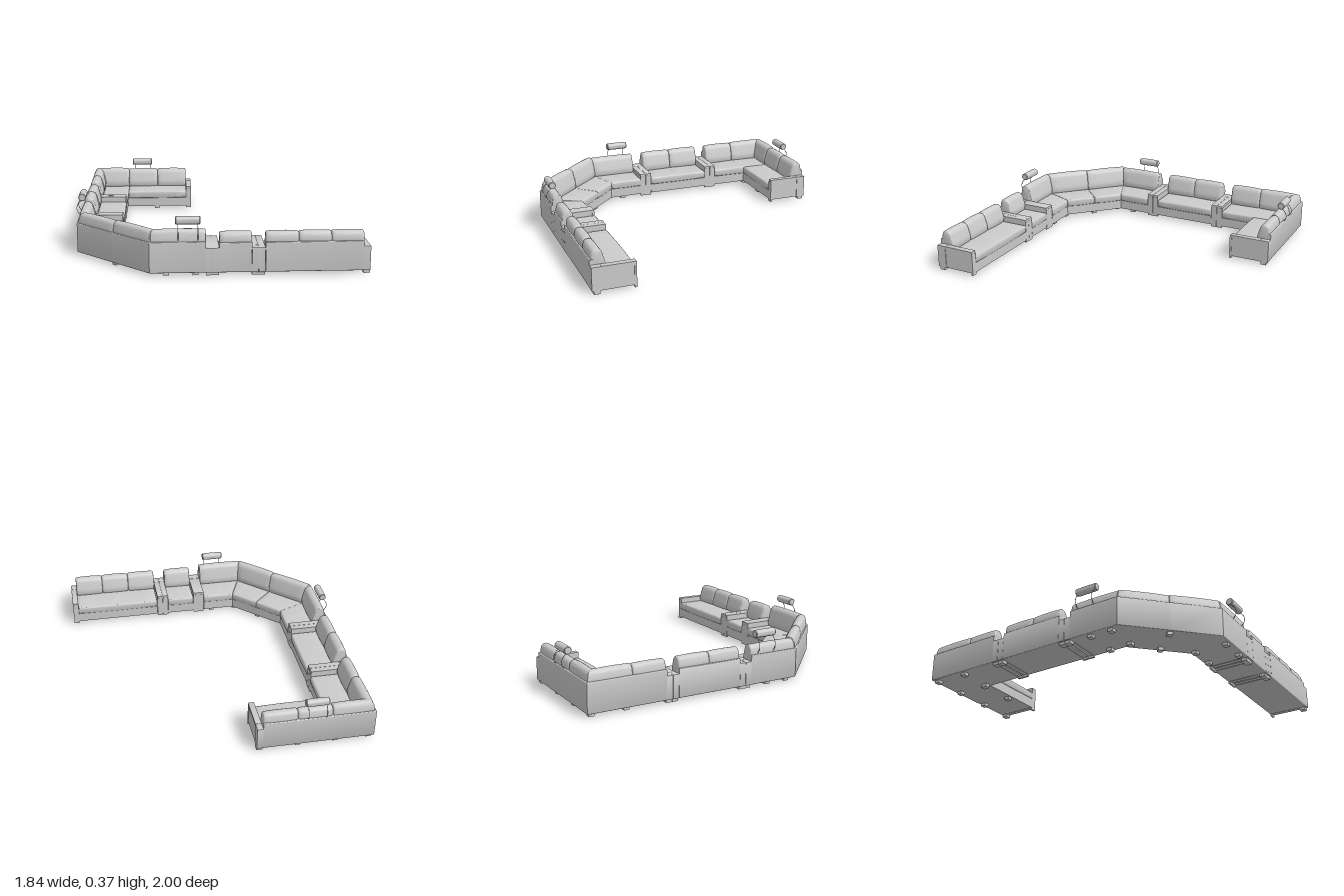
import * as THREE from 'three';
import { toCreasedNormals } from 'three/addons/utils/BufferGeometryUtils.js';

const material = new THREE.MeshStandardMaterial({ color: 0xcccccc, side: THREE.DoubleSide });

// Outer line of the sofa on the floor (x, z), and the inward normal of each run
const V = [[-0.13, -0.985], [-0.905, -0.985], [-0.905, 0.51], [-0.43, 0.98], [0.92, 0.98]]
  .map(([x, z]) => new THREE.Vector2(x, z));
const N = [0, 1, 2, 3].map(i => {
  const d = V[i + 1].clone().sub(V[i]).normalize();
  return new THREE.Vector2(d.y, -d.x);
});

// A station is a point on the outer line plus the direction in which depth is measured
const at = (run, c) => {
  const p = V[run].clone();
  if (run === 1) p.y = c;
  else if (run === 2) p.lerp(V[3], c);
  else p.x = c;
  return { p, m: N[run] };
};
const corner = i => ({
  p: V[i],
  m: N[i - 1].clone().add(N[i]).divideScalar(1 + N[i - 1].dot(N[i])),
});

// Closed (depth, height) section with softened corners
function soften(points, r) {
  const pts = points.map(([d, y]) => new THREE.Vector2(d, y));
  const out = [];
  pts.forEach((p, i) => {
    const a = pts[(i + pts.length - 1) % pts.length], b = pts[(i + 1) % pts.length];
    const toward = q => p.clone().add(q.clone().sub(p).setLength(Math.min(r, p.distanceTo(q) * 0.45)));
    out.push(...new THREE.QuadraticBezierCurve(toward(a), p, toward(b)).getPoints(4));
  });
  return out;
}
const rect = (d0, d1, y0, y1, r = 0) => {
  const pts = [[d0, y0], [d1, y0], [d1, y1], [d0, y1]];
  return r ? soften(pts, r) : pts.map(([d, y]) => new THREE.Vector2(d, y));
};

// Sweep a section between two stations; r0 and r1 round the ends, puff swells the middle
function sweep(section, A, B, { r0 = 0, r1 = 0, puff = 0 } = {}) {
  const len = A.p.distanceTo(B.p), n = section.length;
  const box = new THREE.Box2().setFromPoints(section);
  const mid = box.getCenter(new THREE.Vector2()), half = box.getSize(new THREE.Vector2()).multiplyScalar(0.5);
  const rings = [];
  const arc = [0, 0.25, 0.5, 0.75].map(k => k * Math.PI / 2);
  if (r0) arc.forEach(a => rings.push([r0 * (1 - Math.cos(a)) / len, r0 * (1 - Math.sin(a))]));
  const steps = puff ? 8 : 1;
  for (let k = 0; k <= steps; k++) rings.push([THREE.MathUtils.lerp(r0 / len, 1 - r1 / len, k / steps), 0]);
  if (r1) arc.reverse().forEach(a => rings.push([1 - r1 * (1 - Math.cos(a)) / len, r1 * (1 - Math.sin(a))]));

  const pos = [], idx = [];
  const put = (t, d, y) => {
    const a = A.p.clone().addScaledVector(A.m, d), b = B.p.clone().addScaledVector(B.m, d);
    a.lerp(b, t);
    pos.push(a.x, y, a.y);
  };
  rings.forEach(([t, inset]) => {
    const grow = puff * Math.sin(Math.PI * t) - inset;
    section.forEach(s => put(t,
      mid.x + (s.x - mid.x) * (1 + grow / half.x),
      mid.y + (s.y - mid.y) * (1 + grow / half.y)));
  });
  const last = (rings.length - 1) * n, c0 = rings.length * n, c1 = c0 + 1;
  put(0, mid.x, mid.y);
  put(1, mid.x, mid.y);
  for (let i = 0; i < n; i++) {
    const j = (i + 1) % n;
    for (let k = 0; k < last; k += n) idx.push(k + i, k + j, k + n + i, k + j, k + n + j, k + n + i);
    idx.push(c0, j, i, c1, last + i, last + j);
  }
  const g = new THREE.BufferGeometry();
  g.setAttribute('position', new THREE.Float32BufferAttribute(pos, 3));
  g.setIndex(idx);
  return toCreasedNormals(g, 0.6);
}

export function createModel() {
  const sofa = new THREE.Group();
  sofa.name = 'sectionalSofa';
  const add = (name, geometry) => {
    const mesh = new THREE.Mesh(geometry, material);
    mesh.name = name;
    sofa.add(mesh);
    return mesh;
  };

  // Upholstered base and back panel
  const frame = (A, B, top = 0.208) => {
    add('base', sweep(rect(0.01, 0.28, 0.02, 0.086), A, B));
    add('backPanel', sweep(rect(0, 0.03, 0.02, top, 0.006), A, B));
  };
  const seat = (A, B, r0 = 0.008, r1 = 0.008) =>
    add('seatCushion', sweep(rect(0.05, 0.284, 0.086, 0.138, 0.014), A, B, { r0, r1, puff: 0.003 }));
  const backCushion = (A, B, h = 0.275, r0 = 0.012, r1 = 0.012) =>
    add('backCushion', sweep(soften([[0.03, 0.13], [0.095, 0.13], [0.104, 0.17], [0.078, h - 0.015],
      [0.05, h], [0.02, h - 0.01], [0.008, 0.215]], 0.02), A, B, { r0, r1, puff: 0.003 }));
  const row = (run, cuts, h) => cuts.slice(1).forEach((c, i) => backCushion(at(run, cuts[i]), at(run, c), h));

  // Back run and corner
  frame(at(0, -0.17), corner(1), 0.215);
  frame(corner(1), at(1, -0.455), 0.215);
  seat(at(0, -0.17), at(0, -0.62));
  seat(at(1, -0.94), at(1, -0.455));
  row(0, [-0.17, -0.395, -0.62], 0.275);
  backCushion(at(0, -0.62), corner(1), 0.28, 0.012, 0);
  backCushion(corner(1), at(1, -0.68), 0.28, 0, 0.012);
  row(1, [-0.68, -0.455], 0.278);

  // Two-seat unit
  frame(at(1, -0.37), at(1, 0.075));
  seat(at(1, -0.37), at(1, 0.075));
  row(1, [-0.37, -0.147, 0.075], 0.278);

  // Angled corner unit
  const angled = [at(1, 0.16), corner(2), at(2, 0.5), corner(3), at(3, -0.087)];
  angled.slice(1).forEach((B, i) => {
    frame(angled[i], B, 0.215);
    seat(angled[i], B, i === 1 ? 0.001 : 0.004, i === 0 ? 0.001 : 0.004);
    backCushion(angled[i], B, [0.278, 0.285, 0.288, 0.288][i], 0.008, 0.008);
  });

  // Single seat and three-seat unit
  for (const cuts of [[-0.005, 0.193], [0.277, 0.48, 0.68, 0.88]]) {
    const A = at(3, cuts[0]), B = at(3, cuts.at(-1));
    frame(A, B);
    seat(A, B);
    row(3, cuts, 0.27);
  }

  // Arms: recessed panel framed by a top rail, front post and rear post
  const arm = (run, c0, c1) => {
    const inset = (c1 - c0) * 0.1;
    const A = at(run, c0), B = at(run, c1);
    add('armPanel', sweep(rect(0.05, 0.272, 0.02, 0.165), at(run, c0 + inset), at(run, c1 - inset)));
    add('armRail', sweep(rect(0.062, 0.28, 0.157, 0.175, 0.003), A, B));
    add('armFrontPost', sweep(rect(0.266, 0.28, 0.005, 0.158), A, B));
    add('armRearPost', sweep(rect(0, 0.062, 0.02, 0.175, 0.003), A, B));
    add('armFoot', sweep(rect(0.012, 0.05, 0, 0.021), A, B));
  };
  arm(0, -0.131, -0.17);
  [-0.455, -0.412, 0.076, 0.119].forEach(z => arm(1, z, z + 0.041));
  [-0.086, -0.046, 0.194, 0.235, 0.88].forEach(x => arm(3, x, x + 0.04));

  // Feet
  const feet = [[0, -0.4], [0, -0.65], [0, -0.87], [1, -0.72], [1, 0.3], [1, 0.45], [2, 0.5], [3, -0.33], [3, -0.15]];
  for (const [run, c] of feet) {
    const { p, m } = at(run, c);
    for (const depth of [0.035, 0.25]) {
      if (run === 0 && c < -0.7 && depth > 0.1) continue;
      const foot = add('foot', new THREE.BoxGeometry(0.036, 0.022, 0.036));
      foot.position.set(p.x + m.x * depth, 0.011, p.y + m.y * depth);
      foot.rotation.y = Math.atan2(m.x, m.y);
    }
  }

  // Headrest rolls on two bent wires
  const rollProfile = [[0, -0.076], [0.021, -0.076], [0.025, -0.071], [0.026, 0], [0.025, 0.071], [0.021, 0.076], [0, 0.076]]
    .map(([r, y]) => new THREE.Vector2(r, y));
  for (const [run, c, y] of [[0, -0.515, 0.325], [1, 0.27, 0.345], [3, -0.195, 0.345]]) {
    const { p, m } = at(run, c);
    const headrest = new THREE.Group();
    headrest.name = 'headrest';
    const roll = new THREE.Mesh(toCreasedNormals(new THREE.LatheGeometry(rollProfile, 24), 0.6), material);
    roll.name = 'headrestRoll';
    roll.rotation.z = Math.PI / 2;
    roll.position.set(0, y, 0.025);
    headrest.add(roll);
    for (const x of [-0.06, 0.06]) {
      const path = new THREE.CatmullRomCurve3([[0.02, y - 0.02], [-0.004, y - 0.045], [-0.014, y - 0.075],
        [-0.008, y - 0.1], [0.02, 0.212]].map(([z, h]) => new THREE.Vector3(x, h, z)));
      const wire = new THREE.Mesh(new THREE.TubeGeometry(path, 14, 0.002, 6), material);
      wire.name = 'headrestWire';
      headrest.add(wire);
    }
    headrest.position.set(p.x, 0, p.y);
    headrest.rotation.y = Math.atan2(m.x, m.y);
    sofa.add(headrest);
  }
  return sofa;
}
